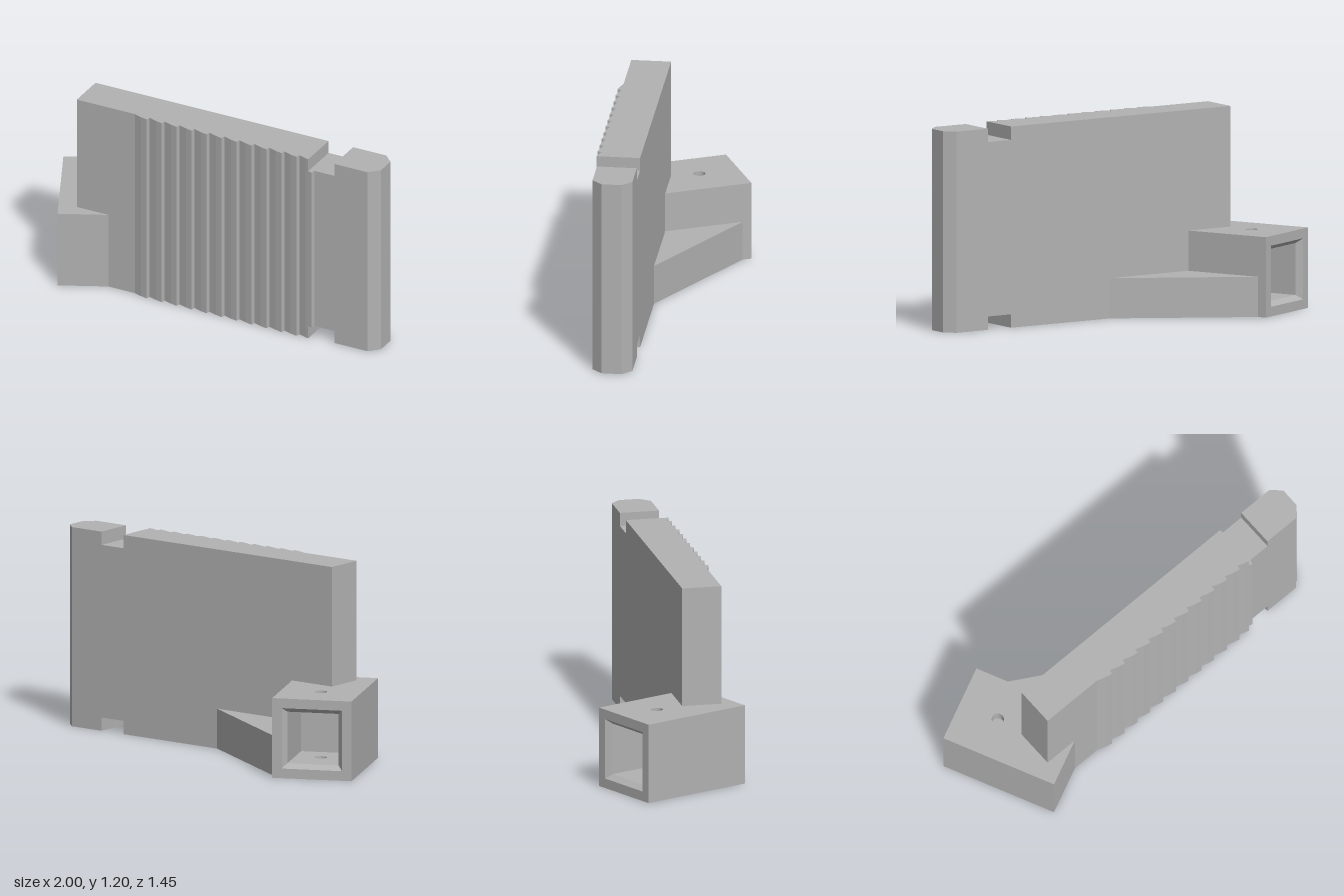
import * as THREE from 'three';

export function createModel() {
  const model = new THREE.Group();
  const grey = new THREE.MeshStandardMaterial({ color: 0xb2b2b2 });
  grey.name = 'grey';

  const add = (name, geometry) => {
    const mesh = new THREE.Mesh(geometry, grey);
    mesh.name = name;
    model.add(mesh);
    return mesh;
  };

  // Upright prism from a plan outline of [x, z] points, with an optional round hole
  const prism = (name, points, y0, y1, hole) => {
    const shape = new THREE.Shape(points.map(([x, z]) => new THREE.Vector2(x, -z)));
    if (hole) {
      const path = new THREE.Path();
      path.absarc(hole[0], -hole[1], hole[2], 0, Math.PI * 2, true);
      shape.holes.push(path);
    }
    const geo = new THREE.ExtrudeGeometry(shape, { depth: y1 - y0, bevelEnabled: false, curveSegments: 24 });
    geo.rotateX(-Math.PI / 2).translate(0, y0, 0);
    return add(name, geo);
  };
  const rect = (x0, x1, z0, z1) => [[x0, z0], [x0, z1], [x1, z1], [x1, z0]];

  // Plate coordinates: s along the slanted plate, t out of its front face
  const U = [0.906, 0.423], origin = [-0.89, -0.10];
  const plan = ([s, t]) => [origin[0] + s * U[0] - t * U[1], origin[1] + s * U[1] + t * U[0]];
  const T = 0.237, H = 1.2, notchDepth = 0.08, notchL = 1.556, notchR = 1.72;

  // Saw-tooth grip along the front face
  const grip = [];
  for (let i = 0; i < 12; i++) {
    const s = 0.387 + i * 0.1;
    grip.push([s, 0], [s + 0.05, 0.017], [s + 0.093, 0.026]);
  }
  grip.push([1.587, 0]);

  // Chamfered free end of the plate
  const end = [[1.942, 0], [2, -0.06], [2, -0.18], [1.942, -T]];

  // Plate: full middle layer, with top and bottom layers split by the notches
  prism('plateMiddle', [[0, 0], ...grip, ...end, [0, -T]].map(plan), notchDepth, H - notchDepth);
  const inner = [[0, 0], ...grip.filter(([s]) => s < notchL), [notchL, 0.022], [notchL, -T], [0, -T]].map(plan);
  const outer = [[notchR, 0], ...end, [notchR, -T]].map(plan);
  for (const [label, y] of [['Bottom', 0], ['Top', H - notchDepth]]) {
    prism('plate' + label, inner, y, y + notchDepth);
    prism('plateEnd' + label, outer, y, y + notchDepth);
  }

  // Square socket, hollow from the back, with a pin hole through floor and roof
  const x0 = -1, x1 = -0.52, zMouth = -0.725, zFront = -0.01, zDeep = -0.325;
  const S = 0.48, wall = 0.085, lip = 0.035, zWall = zMouth + lip;
  const pin = [-0.76, -0.48, 0.036];
  prism('socketFloor', rect(x0, x1, zWall, zDeep), 0, wall, pin);
  prism('socketRoof', rect(x0, x1, zWall, zDeep), S - wall, S, pin);
  prism('socketWallRight', rect(x0, x0 + wall, zWall, zDeep), wall, S - wall);
  prism('socketWallLeft', rect(x1 - wall, x1, zWall, zDeep), wall, S - wall);
  prism('socketBlock', rect(x0, x1, zDeep, zFront), 0, S);

  // Bevelled square rim around the socket mouth
  const profile = [[S / 2, 0], [S / 2, lip], [S / 2 - 0.058, lip], [S / 2 - wall, 0]]
    .map(([r, y]) => new THREE.Vector2(r * Math.SQRT2, y));
  const rim = new THREE.LatheGeometry(profile, 4, Math.PI / 4).toNonIndexed();
  rim.rotateX(-Math.PI / 2);
  rim.computeVertexNormals();
  add('socketRim', rim).position.set((x0 + x1) / 2, S / 2, zWall);

  // Low triangular brace between socket and plate
  prism('brace', [[-0.52, -0.67], [-0.52, -0.18], [-0.01, 0.052]], 0, 0.24);

  return model;
}
